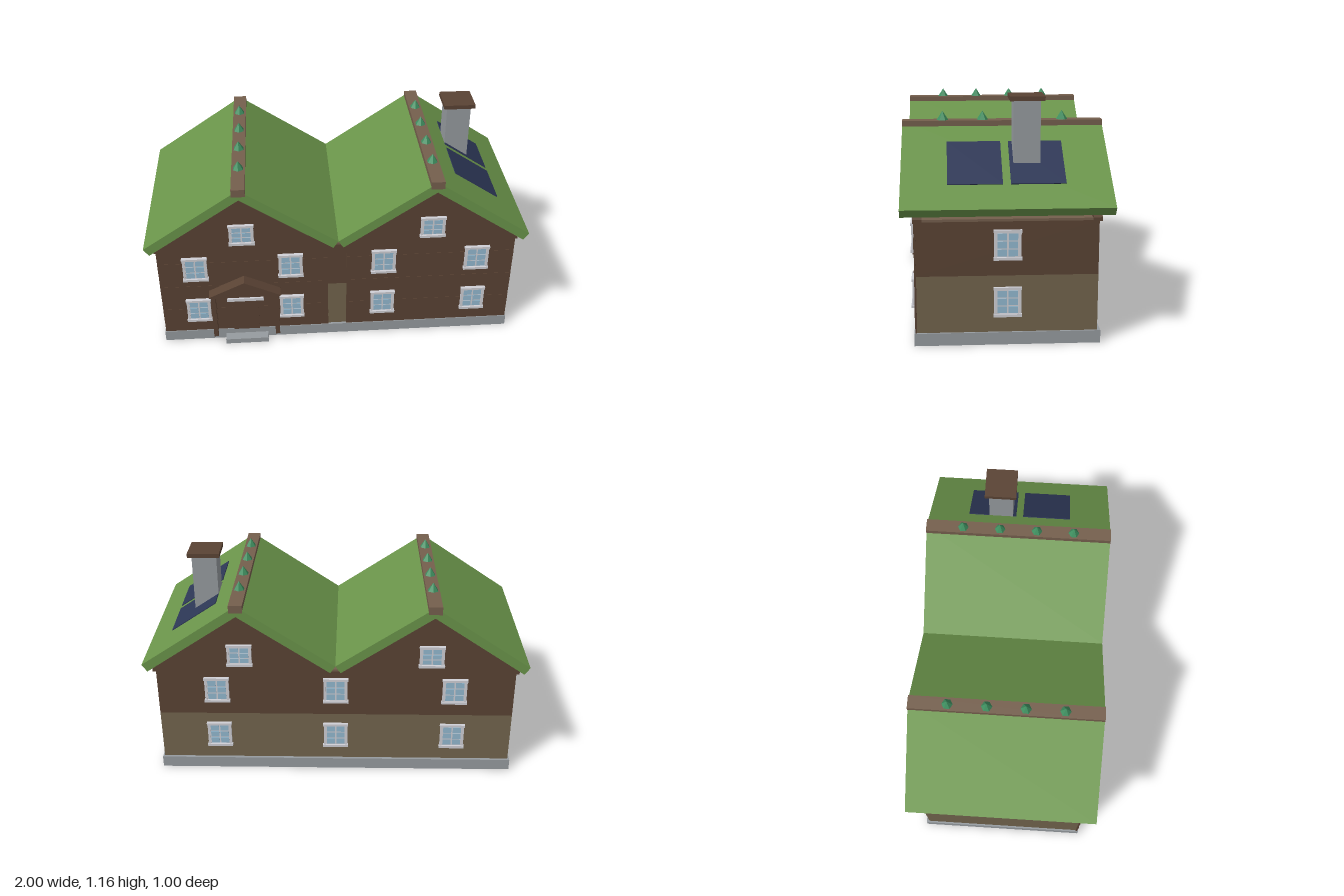
import * as THREE from 'three';

const paint = (name, color) => {
  const m = new THREE.MeshStandardMaterial({ color });
  m.name = name;
  return m;
};

export function createModel() {
  const brown = paint('brown timber', 0x5a4334);
  const tan = paint('tan wall', 0x72644d);
  const ridgeTan = paint('ridge wood', 0x755f4d);
  const green = paint('grass roof', 0x6a944a);
  const grey = paint('grey stone', 0x969b9f);
  const white = paint('pale trim', 0xd0d0d6);
  const blue = paint('window glass', 0x93b9d0);
  const navy = paint('solar panel', 0x2c3655);
  const leaf = paint('shrub green', 0x3f8f60);
  leaf.flatShading = true;

  const house = new THREE.Group();
  house.name = 'house';

  // Box given by its limits on each axis
  const box = (parent, name, mat, x0, x1, y0, y1, z0, z1) => {
    const mesh = new THREE.Mesh(new THREE.BoxGeometry(x1 - x0, y1 - y0, z1 - z0), mat);
    mesh.position.set((x0 + x1) / 2, (y0 + y1) / 2, (z0 + z1) / 2);
    mesh.name = name;
    parent.add(mesh);
    return mesh;
  };
  // Outline in x and y, extruded from z0 to z1
  const prism = (name, mat, points, z0, z1) => {
    const shape = new THREE.Shape(points.map(([x, y]) => new THREE.Vector2(x, y)));
    const geo = new THREE.ExtrudeGeometry(shape, { depth: z1 - z0, bevelEnabled: false });
    const mesh = new THREE.Mesh(geo, mat);
    mesh.position.z = z0;
    mesh.name = name;
    house.add(mesh);
  };

  // Foundation, two storeys and attic floor
  box(house, 'foundation', grey, -0.955, 0.955, 0, 0.062, -0.445, 0.443);
  box(house, 'lowerStorey', tan, -0.946, 0.946, 0.062, 0.342, -0.43, 0.43);
  box(house, 'upperStorey', brown, -0.946, 0.946, 0.342, 0.605, -0.43, 0.43);
  box(house, 'atticFloor', ridgeTan, -0.946, 0.946, 0.605, 0.617, -0.43, 0.43);

  // Front cladding of stacked boards
  const rows = 7, boardHeight = 0.543 / rows;
  for (const cx of [-0.5, 0.5]) {
    for (let i = 0; i < rows; i++) {
      const y = 0.062 + i * boardHeight;
      box(house, 'claddingBoard', brown, cx - 0.45, cx + 0.45, y, y + boardHeight,
        0.43, i % 2 ? 0.44 : 0.4385);
    }
  }

  // Gable walls at the front and back of each wing
  for (const cx of [-0.5, 0.5]) {
    const outline = [[cx - 0.46, 0.603], [cx + 0.46, 0.603], [cx + 0.46, 0.622],
      [cx, 0.953], [cx - 0.46, 0.622]];
    prism('frontGable', brown, outline, 0.4, 0.442);
    prism('backGable', brown, outline, -0.442, -0.4);
  }

  // Pitched roofs with ridge boards and shrubs
  const pitch = Math.atan2(0.337, 0.5);
  const slopeLength = 0.5 / Math.cos(pitch);
  for (const cx of [-0.5, 0.5]) {
    for (const side of [-1, 1]) {
      const slope = new THREE.Group();
      slope.name = 'roofSlope';
      slope.position.set(cx, 1.013, 0);
      slope.rotation.z = -side * pitch;
      house.add(slope);
      const slab = box(slope, 'roofSlab', green, 0, slopeLength, -0.048, 0, -0.5, 0.5);
      slab.position.x *= side;
      // Solar panels on the outer right slope
      if (cx > 0 && side > 0) {
        for (const z of [-0.282, 0.018]) {
          box(slope, 'solarPanel', navy, slopeLength * 0.26, slopeLength * 0.74,
            0, 0.004, z, z + 0.262);
        }
      }
    }
    box(house, 'ridgeBoard', ridgeTan, cx - 0.035, cx + 0.035, 0.975, 1.017, -0.501, 0.501);
    for (const z of [-0.3, -0.1, 0.1, 0.3]) {
      const shrub = new THREE.Mesh(new THREE.ConeGeometry(0.029, 0.045, 6), leaf);
      shrub.position.set(cx, 1.0395, z);
      shrub.name = 'ridgeShrub';
      house.add(shrub);
    }
  }

  // Chimney
  box(house, 'chimney', grey, 0.63, 0.76, 0.6, 1.145, -0.168, -0.038);
  box(house, 'chimneyCap', brown, 0.612, 0.78, 1.143, 1.165, -0.188, -0.02);

  // Window facing +z, turned to the wall it sits on
  const addWindow = (x, y, z, turn = 0, height = 0.146) => {
    const w = new THREE.Group();
    w.name = 'window';
    w.position.set(x, y, z);
    w.rotation.y = turn;
    const h = height / 2;
    box(w, 'windowFrame', white, -0.055, 0.055, -h + 0.008, h - 0.008, -0.005, 0.009);
    for (const s of [-1, 1]) {
      box(w, 'sideTrim', white, s * 0.058 - 0.006, s * 0.058 + 0.006, -h, h, -0.005, 0.014);
    }
    box(w, 'header', white, -0.067, 0.067, h - 0.013, h, -0.005, 0.018);
    box(w, 'sill', white, -0.068, 0.068, -h, -h + 0.014, -0.005, 0.02);
    const step = (height - 0.03) / 3;
    for (const px of [-0.026, 0.026]) {
      for (let r = -1; r <= 1; r++) {
        box(w, 'pane', blue, px - 0.022, px + 0.022,
          r * step - step / 2 + 0.003, r * step + step / 2 - 0.003, 0.008, 0.0115);
      }
    }
    house.add(w);
  };
  for (const y of [0.213, 0.493]) {
    for (const x of [-0.755, -0.25, 0.248, 0.748]) addWindow(x, y, 0.44);
    for (const x of [-0.63, 0, 0.63]) addWindow(x, y, -0.43, Math.PI);
    addWindow(0.943, y, 0, Math.PI / 2);
  }
  for (const x of [-0.5, 0.5]) {
    addWindow(x, 0.708, 0.442, 0, 0.122);
    addWindow(x, 0.708, -0.442, Math.PI, 0.122);
  }

  // Door, porch and step
  box(house, 'door', brown, -0.573, -0.432, 0.062, 0.266, 0.43, 0.447);
  box(house, 'doorHeader', white, -0.6, -0.402, 0.266, 0.284, 0.43, 0.455);
  for (const x of [-0.67, -0.332]) {
    box(house, 'porchPost', brown, x - 0.012, x + 0.012, 0.062, 0.335, 0.475, 0.499);
    box(house, 'porchPilaster', brown, x - 0.012, x + 0.012, 0.062, 0.335, 0.43, 0.446);
  }
  prism('porchRoof', brown, [[-0.692, 0.333], [-0.31, 0.333], [-0.31, 0.339],
    [-0.501, 0.43], [-0.692, 0.339]], 0.43, 0.503);
  box(house, 'doorStep', grey, -0.62, -0.385, 0, 0.03, 0.43, 0.494);

  return house;
}
